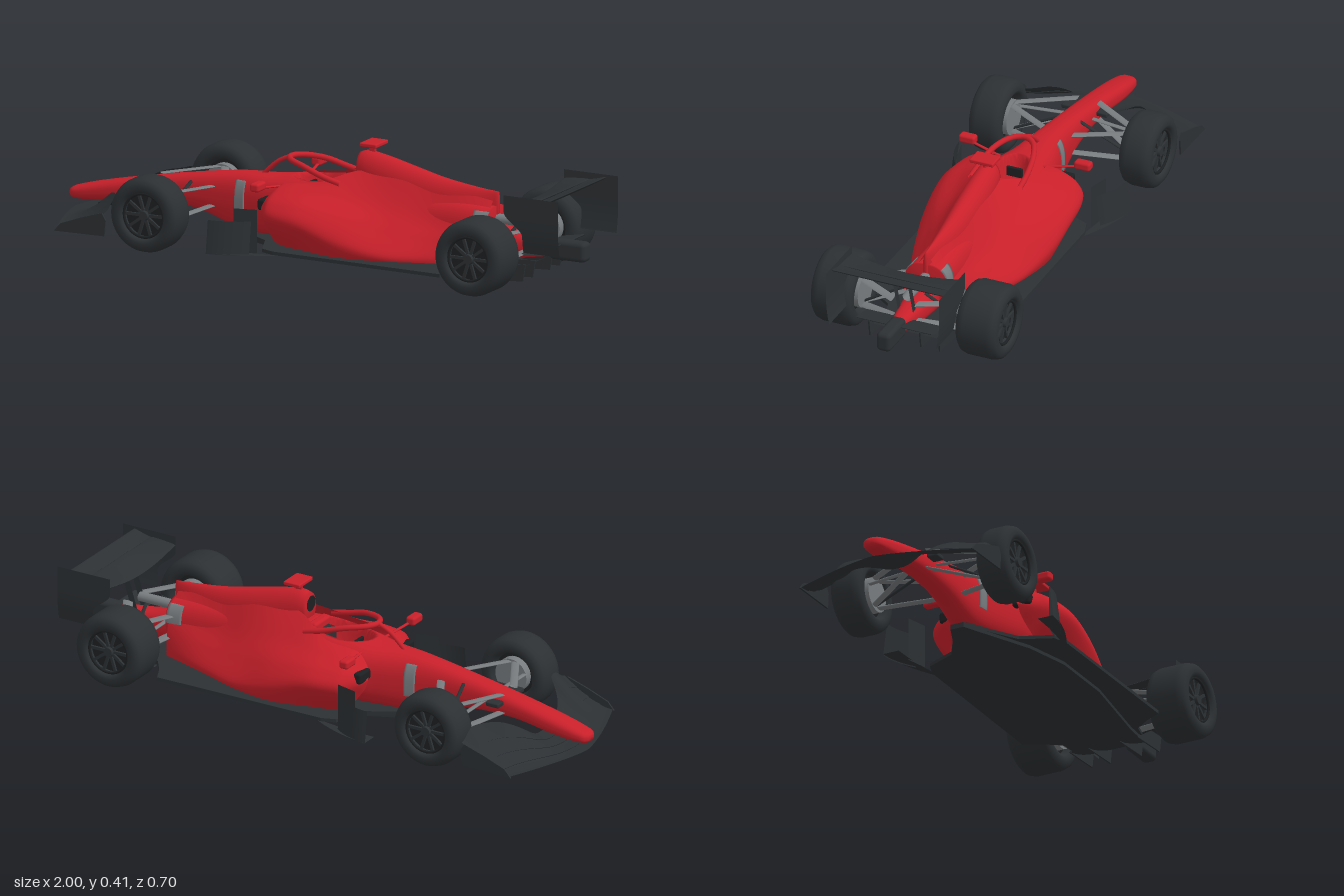
import * as THREE from 'three';
import { RoundedBoxGeometry } from 'three/addons/geometries/RoundedBoxGeometry.js';

const mat = color => new THREE.MeshStandardMaterial({ color, side: THREE.DoubleSide });
const RED = mat(0xc8202a), DARK = mat(0x2c3033), BLACK = mat(0x1d2022), GREY = mat(0x777b7e);
const { smoothstep, clamp } = THREE.MathUtils;

// Smooth interpolation of rows of numbers keyed by x
function sample(st, x) {
  let i = 0;
  while (i < st.length - 2 && x > st[i + 1][0]) i++;
  const a = st[i], b = st[i + 1], h = b[0] - a[0], t = (x - a[0]) / h;
  const slope = (j, k) => {
    const p = st[Math.max(j - 1, 0)], q = st[Math.min(j + 1, st.length - 1)];
    return (q[k] - p[k]) / (q[0] - p[0]);
  };
  return a.map((v, k) => k === 0 ? x :
    v * (1 + 2 * t) * (1 - t) ** 2 + b[k] * t * t * (3 - 2 * t) +
    h * (slope(i, k) * t * (1 - t) ** 2 - slope(i + 1, k) * t * t * (1 - t)));
}

// Skin of superellipse rings between x0 and x1; stations are [x, yBottom, yTop, halfWidth]
function loft(st, { x0 = st[0][0], x1 = st[st.length - 1][0], steps = 50, ring = 40, power = 2.6,
  grow = 0, shape = (x, y) => y } = {}) {
  const pos = [], idx = [];
  const pw = v => Math.sign(v) * Math.abs(v) ** (2 / power);
  for (let i = 0; i <= steps; i++) {
    const [x, yb, yt, w] = sample(st, x0 + (x1 - x0) * i / steps);
    for (let j = 0; j < ring; j++) {
      const a = j / ring * Math.PI * 2, z = pw(Math.cos(a)) * (w + grow);
      const y = (yb + yt) / 2 + pw(Math.sin(a)) * ((yt - yb) / 2 + grow);
      pos.push(x, shape(x, y, z), z);
      if (i < steps) {
        const k = (j + 1) % ring, p = i * ring, q = p + ring;
        idx.push(p + j, q + j, q + k, p + j, q + k, p + k);
      }
    }
  }
  // end caps
  for (const i of [0, steps]) {
    const [x, yb, yt] = sample(st, i ? x1 : x0), c = pos.length / 3, p = i * ring;
    pos.push(x, (yb + yt) / 2, 0);
    for (let j = 0; j < ring; j++) {
      const k = (j + 1) % ring;
      idx.push(c, p + (i ? k : j), p + (i ? j : k));
    }
  }
  const g = new THREE.BufferGeometry();
  g.setAttribute('position', new THREE.Float32BufferAttribute(pos, 3));
  g.setIndex(idx);
  g.computeVertexNormals();
  return g;
}

// Curved sheet from a rule (u, v) -> [x, y, z]
function sheet(fn, nu = 30, nv = 10) {
  const g = new THREE.PlaneGeometry(1, 1, nu, nv), p = g.attributes.position;
  for (let i = 0; i < p.count; i++) p.setXYZ(i, ...fn(p.getX(i) + 0.5, p.getY(i) + 0.5));
  g.computeVertexNormals();
  return g;
}

// Flat plate cut from an x-y outline
const plate = (points, depth) => new THREE.ExtrudeGeometry(
  new THREE.Shape(points.map(p => new THREE.Vector2(...p))), { depth, bevelEnabled: false }).translate(0, 0, -depth / 2);
// Horizontal plate from half of an x-z outline
const floorPlate = (half, depth, y) => plate([...half, ...half.map(([x, z]) => [x, -z]).reverse()], depth)
  .rotateX(Math.PI / 2).translate(0, y, 0);

const tube = (pts, r) => new THREE.TubeGeometry(
  new THREE.CatmullRomCurve3(pts.map(p => new THREE.Vector3(...p))), 40, r, 10);

export function createModel() {
  const car = new THREE.Group();
  const add = (name, geo, m, parent = car) => {
    const o = new THREE.Mesh(geo, m);
    o.name = name;
    parent.add(o);
    return o;
  };
  const box = (name, m, size, at) => add(name, new RoundedBoxGeometry(...size, 2, Math.min(...size) * 0.3), m).position.set(...at);
  // flattened strut, half width w along x and half thickness t
  const blade = (name, m, a, b, w, t) => add(name, sheet((u, v) => {
    const q = v * Math.PI * 2, p = a.map((c, i) => c + (b[i] - c) * u);
    return [p[0] + w * Math.cos(q), p[1] + t * Math.sin(q), p[2]];
  }, 2, 12), m);

  // Nose, cockpit tub and rear bodywork in one skin, with a sunk cockpit
  const tub = [[-1, .085, .108, .018], [-.985, .075, .117, .034], [-.88, .08, .146, .043],
    [-.7, .105, .185, .044], [-.5, .095, .222, .049], [-.33, .045, .246, .065],
    [-.2, .038, .252, .09], [-.1, .038, .264, .112], [.05, .038, .28, .115],
    [.2, .038, .275, .095], [.4, .038, .255, .075], [.55, .045, .25, .075], [.65, .09, .242, .078]];
  const cockpit = (x, y, z) => y < .15 ? y :
    y - .1 * (1 - smoothstep(Math.hypot((x + .015) / .115, z / .068), .82, 1));
  add('chassis', loft(tub, { steps: 180, ring: 96, shape: cockpit }), RED);
  // grey side panels: thin rings whose top and bottom sink into the skin
  const panel = (name, x0, x1, lo, hi) => add(name, loft(tub, { x0, x1, steps: 6, ring: 80, grow: .002,
    shape: (x, y) => clamp(y, lo, hi) }), GREY);
  panel('chassisPanels', -.335, -.295, .11, .225);
  panel('rearBodyPanels', .59, .647, .165, .23);

  // Flowing flanks, from the spine over the sidepod shoulder down to the floor: [x, then z, y pairs]
  const flank = [[-.19, .08, .23, .13, .225, .185, .2, .197, .15, .14, .09],
    [-.1, .1, .252, .155, .235, .215, .2, .238, .145, .17, .05],
    [0, .1, .264, .155, .237, .222, .2, .252, .14, .19, .04],
    [.14, .04, .312, .12, .233, .2, .178, .245, .11, .225, .04],
    [.3, .035, .315, .095, .212, .152, .142, .205, .075, .2, .04],
    [.45, .025, .29, .075, .182, .115, .125, .15, .07, .15, .04],
    [.64, .015, .26, .066, .19, .083, .14, .09, .08, .09, .04]];
  const flankRule = s => (u, v) => {
    const [x, ...c] = sample(flank, -.19 + .83 * u);
    const pts = [0, 2, 4, 6, 8].map(i => new THREE.Vector2(c[i], c[i + 1]));
    const p = new THREE.SplineCurve(pts).getPoint(v), k = Math.sqrt(Math.min(1, u / .07));
    return [x, .165 + (p.y - .165) * k, s * (.13 + (p.x - .13) * k)];
  };

  // Engine cover with air intake
  add('engineCover', loft([[.12, .265, .368, .034], [.15, .25, .376, .041], [.22, .22, .366, .046],
    [.32, .2, .343, .046], [.45, .18, .314, .038], [.58, .17, .297, .022], [.655, .18, .291, .008]],
  { power: 2 }), RED);
  const intake = add('airIntake', new THREE.CircleGeometry(.028, 24), BLACK);
  intake.rotation.y = -Math.PI / 2;
  intake.position.set(.118, .33, 0);
  box('cameraStem', RED, [.025, .035, .012], [.165, .383, 0]);
  box('cameraBar', RED, [.065, .014, .088], [.17, .402, 0]);

  // Gearbox, exhaust and rear light
  add('gearbox', loft([[.6, .06, .2, .055], [.75, .075, .165, .045], [.9, .1, .15, .022]]), RED);
  add('exhaust', new THREE.CylinderGeometry(.017, .017, .2, 20, 1, true).rotateZ(Math.PI / 2).translate(.7, .197, 0), GREY);
  box('rearLight', DARK, [.14, .07, .054], [.93, .12, 0]);

  // Cockpit fittings and halo
  box('seat', DARK, [.05, .09, .08], [.06, .21, 0]);
  box('headrest', RED, [.035, .035, .1], [.085, .265, 0]);
  box('steeringWheel', BLACK, [.012, .035, .06], [-.07, .225, 0]);
  const arm = [[.09, .268, .092], [.02, .285, .088], [-.06, .308, .074], [-.13, .318, .04]];
  add('halo', tube([...arm, [-.15, .32, 0], ...arm.map(([x, y, z]) => [x, y, -z]).reverse()], .01), RED);
  add('haloPillar', tube([[-.15, .32, 0], [-.2, .295, 0], [-.26, .242, 0]], .008), RED);

  // Raised floor, lower plank and diffuser
  add('floor', floorPlate([[-.36, .03], [-.27, .075], [-.18, .13], [-.13, .24], [-.08, .258], [.57, .262], [.6, .2], [.64, .145], [.7, .13]], .012, .043), DARK);
  add('plank', floorPlate([[-.38, .025], [-.3, .06], [-.12, .14], [.05, .18], [.3, .18], [.62, .13], [.7, .125]], .018, .034), DARK);
  add('diffuser', sheet((u, v) => [.66 + .17 * v, .018 + .062 * v ** 1.4, (u - .5) * .26]), DARK);
  for (const z of [-.13, -.06, .06, .13])
    add('diffuserFence', plate([[.66, .016], [.82, .025], [.83, .085], [.76, .08]], .005).translate(0, 0, z), DARK);

  // Front wing: four overlapping elements that sweep back and up
  for (let e = 0; e < 4; e++) add('frontWingElement', sheet((u, v) => {
    const z = (u - .5) * .66, s = Math.abs(z) / .33, c = (e + v * 1.04) / 4;
    const lead = -.985 + .105 * s ** 1.35, trail = -.805 + .115 * smoothstep(s, .25, .8);
    const lift = .02 + .085 * smoothstep(s, .05, .6) * (1 - .4 * smoothstep(s, .8, 1));
    return [lead + (trail - lead) * c, .046 + lift * c ** 1.8 + .003 * e, z];
  }, 48, 6), DARK);

  // Rear wing: closed aerofoil skins, lower at the centre
  const foil = (name, x, y, chord, rise, dip, span) => add(name, sheet((u, v) => {
    const a = v * Math.PI * 2, s = 2 * u - 1, t = (1 - Math.cos(a)) / 2;
    return [x + chord * t, y + rise * t * t - dip * (1 - s * s) ** 1.2 * (1 - t) + .006 * Math.sin(a), s * span];
  }, 32, 24), DARK);
  foil('rearWingMain', .79, .308, .1, .008, .024, .21);
  foil('rearWingFlap', .875, .312, .08, .02, .008, .21);
  foil('beamWing', .82, .125, .09, .016, 0, .14);

  for (const s of [1, -1]) {
    // Sidepod flank and intake
    add('sidepodFlank', sheet(flankRule(s), 90, 36), RED);
    box('sidepodIntake', BLACK, [.03, .04, .07], [-.172, .182, s * .14]);

    // Mirror and its stalk
    box('mirror', RED, [.035, .03, .06], [-.16, .257, s * .215]);
    blade('mirrorStalk', RED, [-.155, .25, s * .2], [-.13, .235, s * .08], .006, .004);
    box('noseCamera', DARK, [.05, .016, .04], [-.655, .165, s * .065]);

    // Turning vanes ahead of the floor
    add('outerVane', sheet((u, v) => [-.3 + .14 * u, .03 + v * .115, s * (.328 - .05 * u * u - .015 * v)], 20, 4), DARK);
    add('innerVane', sheet((u, v) => [-.225 + .08 * u, .03 + v * .155, s * (.27 - .02 * u)], 10, 4), DARK);
    add('floorLip', sheet((u, v) => [-.3 + .26 * u, .034, s * (.268 - .03 * u * u + v * .06 * (1 - u ** 1.6))], 16, 2), DARK);

    // Front wing endplate
    add('frontWingEndplate', plate([[-.885, .042], [-.69, .045], [-.685, .1], [-.7, .125], [-.78, .1], [-.86, .07]], .006)
      .translate(0, 0, s * .332), DARK);

    // Rear wing endplate, narrower below
    add('rearWingEndplate', sheet((u, v) => {
      const front = .79 + .07 * smoothstep(1 - v, .3, .7);
      return [front + (1 - front) * u, .145 + .195 * v, s * (.211 - .012 * Math.max(0, 1 - v * 1.8) ** 2)];
    }, 8, 24), DARK);
    blade('rearWingPylon', DARK, [.8, .14, s * .028], [.85, .295, s * .028], .012, .004);

    // Suspension: wishbones, push rods and track rods
    for (const [x, hub, inner, wide, chord] of [[-.545, .225, .04, .12, .016], [.72, .2, .045, .1, .02]]) {
      for (const [yIn, yOut] of [[.19, .185], [.125, .085]])
        for (const d of [-1, 1])
          blade('wishbone', GREY, [x + d * wide, yIn, s * inner], [x + d * .012, yOut, s * hub], chord, .004);
      blade('pushRod', DARK, [x + .03, .195, s * inner], [x, .09, s * hub], .007, .005);
      blade('trackRod', GREY, [x - .06, .16, s * inner], [x - .05, .15, s * hub], .009, .004);
    }

    // Wheels
    for (const [name, x, R, w, z] of [['frontWheel', -.542, .131, .122, .28], ['rearWheel', .72, .132, .156, .27]]) {
      const wheel = new THREE.Group(), h = w / 2, rim = .082;
      wheel.name = name;
      wheel.position.set(x, R + .002, s * z);
      const pts = [[rim - .008, -h + .03], [rim, -h + .006], [rim + .014, -h], [R - .018, -h + .004], [R - .006, -h + .014], [R, -h + .034]];
      const profile = [...pts, ...pts.map(([r, y]) => [r, -y]).reverse()].map(p => new THREE.Vector2(...p));
      add('tyre', new THREE.LatheGeometry(profile, 56).rotateX(Math.PI / 2), DARK, wheel);
      add('rimDish', new THREE.CylinderGeometry(rim, rim, w - .06, 40).rotateX(Math.PI / 2), BLACK, wheel);
      add('rimRing', new THREE.TorusGeometry(rim - .006, .005, 8, 40).translate(0, 0, s * (h - .016)), BLACK, wheel);
      add('hub', new THREE.CylinderGeometry(.016, .02, .02, 20).rotateX(s * Math.PI / 2).translate(0, 0, s * (h - .02)), DARK, wheel);
      add('brakeDrum', new THREE.CylinderGeometry(.062, .062, .03, 32).rotateX(Math.PI / 2).translate(0, 0, -s * (h - .016)), GREY, wheel);
      for (let i = 0; i < 10; i++)
        add('spoke', new THREE.BoxGeometry(.066, .01, .008).translate(.046, 0, s * (h - .024)).rotateZ(i * Math.PI / 5), DARK, wheel);
      car.add(wheel);
    }
  }
  return car;
}
